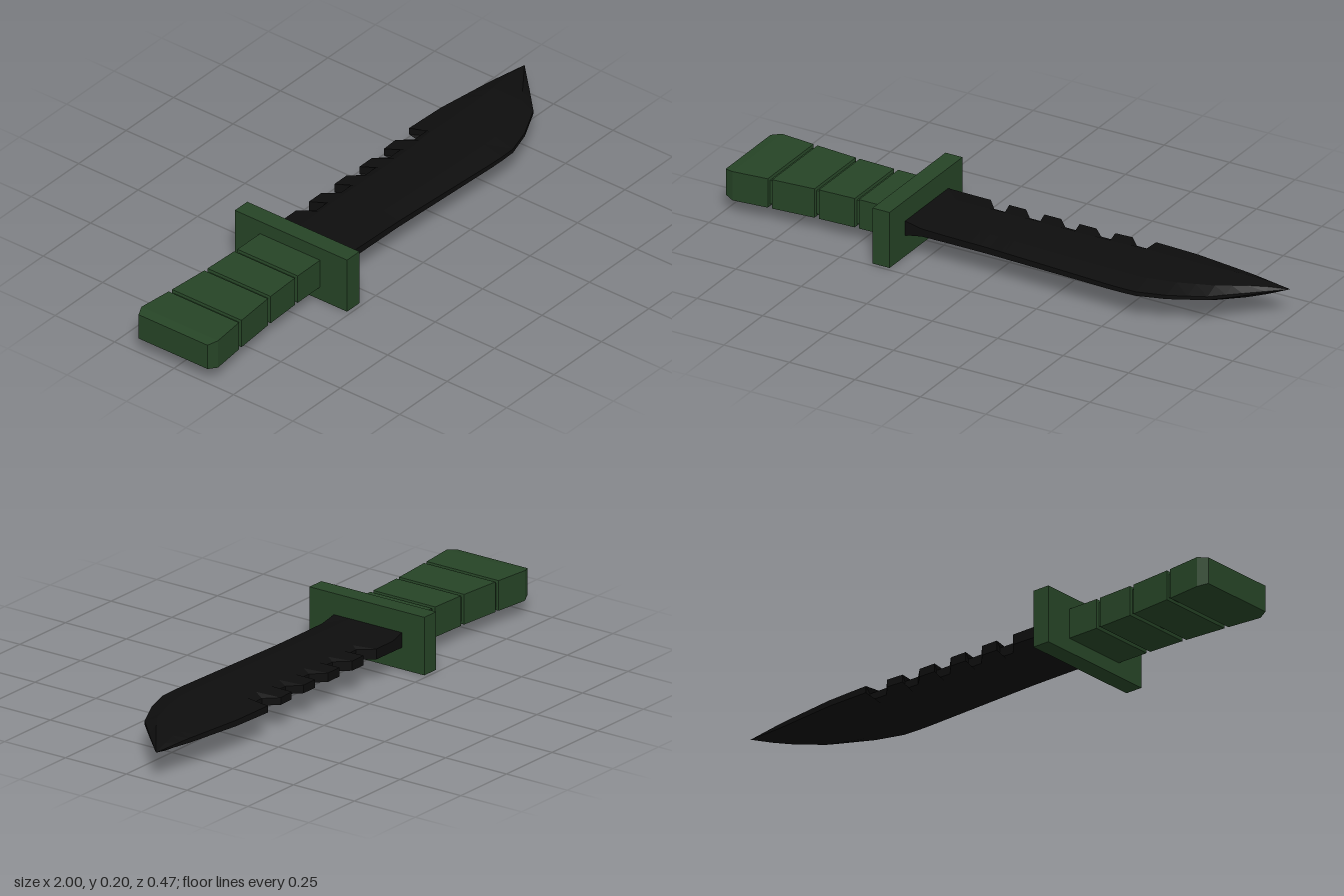
import * as THREE from 'three';

const MID = 0.103; // height of the blade's centre plane

// Piecewise-linear lookup in a list of [x, value] points
function at(points, x) {
  if (x <= points[0][0]) return points[0][1];
  for (let i = 1; i < points.length; i++) {
    const [x0, v0] = points[i - 1], [x1, v1] = points[i];
    if (x <= x1) return v0 + (v1 - v0) * (x - x0) / (x1 - x0);
  }
  return points[points.length - 1][1];
}

// Skin a row of cross-sections (each counter-clockwise seen from +x), with capped ends
function loft(rings) {
  const pos = [];
  const tri = (...pts) => pts.forEach((p) => pos.push(...p));
  const n = rings[0].length;
  for (let i = 0; i < rings.length - 1; i++) {
    const a = rings[i], b = rings[i + 1];
    for (let j = 0; j < n; j++) {
      const k = (j + 1) % n;
      tri(a[j], a[k], b[k]);
      tri(a[j], b[k], b[j]);
    }
  }
  const first = rings[0], last = rings[rings.length - 1];
  for (let j = 1; j < n - 1; j++) {
    tri(first[0], first[j + 1], first[j]);
    tri(last[0], last[j], last[j + 1]);
  }
  const geo = new THREE.BufferGeometry();
  geo.setAttribute('position', new THREE.Float32BufferAttribute(pos, 3));
  geo.computeVertexNormals();
  return geo;
}

// Handle: flared rectangular grip with three shallow grooves and a chamfered butt
function handleGeometry() {
  const width = [[-1, 0.145], [-0.965, 0.161], [-0.83, 0.147], [-0.66, 0.133], [-0.51, 0.127], [-0.37, 0.126]];
  const stations = [[-1, 0, 0.006], [-0.965, 0, 0]];
  for (const x of [-0.83, -0.66, -0.51]) {
    stations.push([x - 0.008, 0, 0], [x - 0.006, 0.01, 0.01], [x + 0.006, 0.01, 0.01], [x + 0.008, 0, 0]);
  }
  stations.push([-0.37, 0, 0]);
  return loft(stations.map(([x, dz, dy]) => {
    const z = at(width, x) - dz, y = 0.053 - dy, c = -0.004;
    return [[x, MID - y, c - z], [x, MID + y, c - z], [x, MID + y, c + z], [x, MID - y, c + z]];
  }));
}

// Blade: bevelled section swept along x, with slanted notches cut in the spine
function bladeGeometry() {
  const spine = [[-0.34, -0.14], [-0.26, -0.155], [0.24, -0.158], [0.37, -0.165], [0.46, -0.175],
    [0.62, -0.17], [0.8, -0.148], [1, -0.122]];
  const edge = [[-0.34, 0.135], [0, 0.141], [0.5, 0.167], [0.58, 0.165], [0.68, 0.135], [0.8, 0.075],
    [0.885, -0.008], [1, -0.122]];
  const body = [[0.8, 0.0265], [0.91, 0.02], [1, 0]];
  const spineHalf = [[-0.32, 0.0265], [-0.26, 0.019], [0.46, 0.012], [0.85, 0.008], [1, 0]];
  const edgeHalf = [[-0.32, 0.0265], [-0.25, 0.013], [0.55, 0.0075], [0.85, 0.006], [1, 0]];

  // Stations: [body x, spine x, spine z]
  const stations = [];
  const plain = (x) => stations.push([x, x, at(spine, x)]);
  [-0.34, -0.32, -0.255].forEach(plain);
  for (let i = 0; i < 5; i++) {
    const x = -0.163 + i * 0.134, root = -0.105 - i * 0.0035, stretch = i === 4 ? 0.014 : 0;
    plain(x);
    stations.push([x + 0.035, x + 0.043, root]);
    stations.push([x + 0.08, x + 0.1 + stretch, root]);
    stations.push([x + 0.095, x + 0.07 + stretch, at(spine, x + 0.07 + stretch)]);
  }
  [0.52, 0.58, 0.62, 0.68, 0.74, 0.8, 0.845, 0.885, 0.94, 1].forEach(plain);

  return loft(stations.map(([x, sx, sz]) => {
    const s = at(spine, x), e = at(edge, x);
    const t = at(body, x), ts = at(spineHalf, x), te = at(edgeHalf, x);
    const rs = s + (e - s) * 0.24, re = e - (e - s) * 0.22; // ridges where the bevels begin
    const upper = [[sx, ts, sz], [x, t, rs], [x, t, re], [x, te, e]];
    const lower = upper.map(([px, y, z]) => [px, -y, z]).reverse();
    // Start at the spine's lower corner and run round
    return [lower[3], ...upper, ...lower.slice(0, 3)].map(([px, y, z]) => [px, MID + y, z]);
  }));
}

export function createModel() {
  const model = new THREE.Group();
  model.name = 'knife';
  const green = new THREE.MeshStandardMaterial({ color: 0x264426, flatShading: true });
  const black = new THREE.MeshStandardMaterial({ color: 0x0d0d0d, flatShading: true });
  const add = (name, geometry, material) => {
    const mesh = new THREE.Mesh(geometry, material);
    mesh.name = name;
    model.add(mesh);
    return mesh;
  };
  add('handle', handleGeometry(), green);
  add('guard', new THREE.BoxGeometry(0.065, 0.204, 0.472), green).position.set(-0.351, 0.102, 0);
  add('blade', bladeGeometry(), black);
  return model;
}
